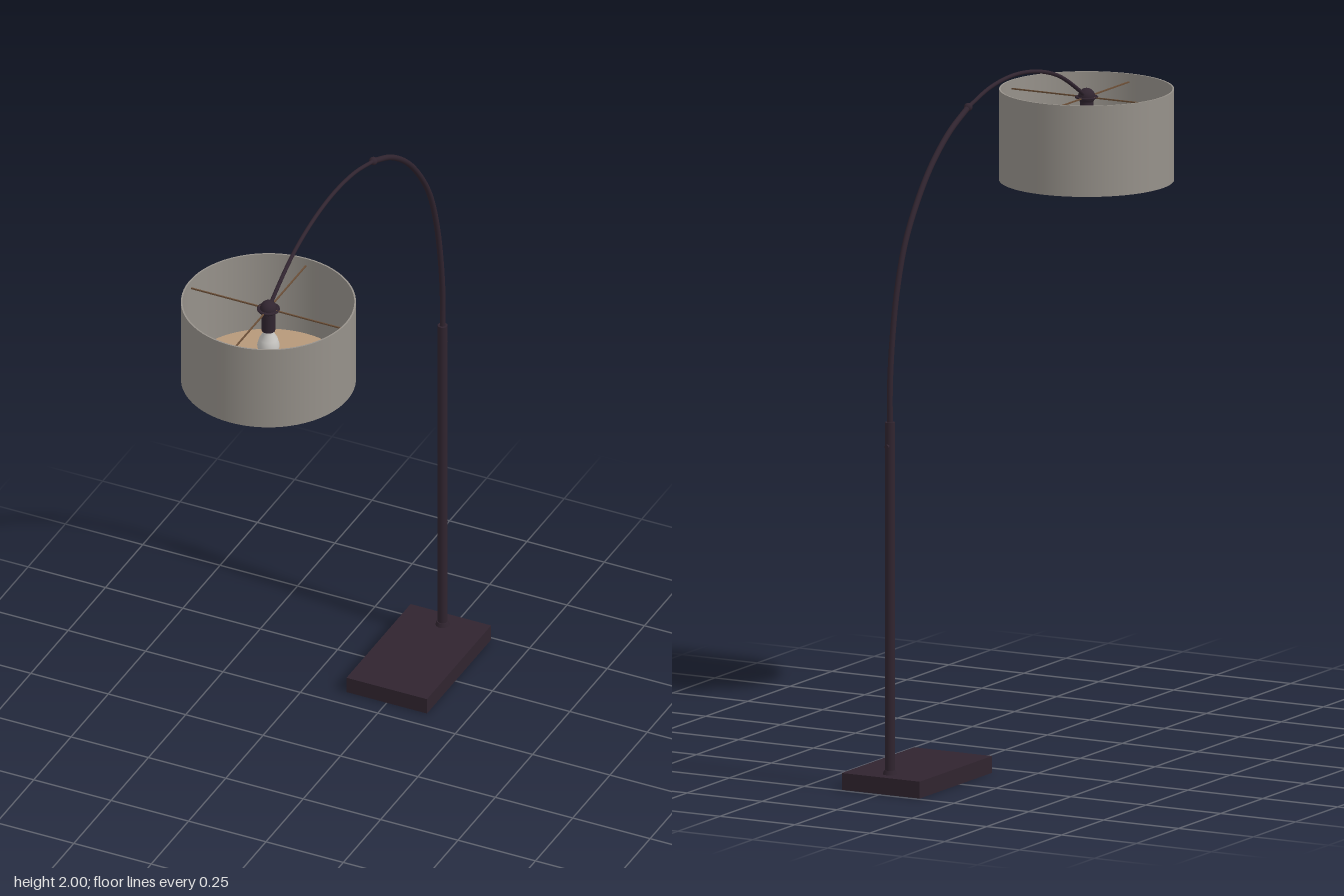
import * as THREE from 'three';

const metal = new THREE.MeshStandardMaterial({ color: 0x30242f });
metal.name = 'dark bronze';
const fabric = new THREE.MeshStandardMaterial({ color: 0x96918a, side: THREE.DoubleSide });
fabric.name = 'grey fabric';
const tan = new THREE.MeshStandardMaterial({ color: 0xb6987a });
tan.name = 'tan diffuser';
const brass = new THREE.MeshStandardMaterial({ color: 0x6b4f38 });
brass.name = 'brown wire';
const glass = new THREE.MeshStandardMaterial({ color: 0xc8c6c2 });
glass.name = 'bulb white';

const POLE_Z = -0.685, SHADE_Z = 0.483;

export function createModel() {
  const lamp = new THREE.Group();
  lamp.name = 'arcFloorLamp';

  const add = (name, geometry, material, x, y, z, parent = lamp) => {
    const mesh = new THREE.Mesh(geometry, material);
    mesh.name = name;
    mesh.position.set(x, y, z);
    parent.add(mesh);
    return mesh;
  };
  const rod = (r, h, rTop = r) => new THREE.CylinderGeometry(rTop, r, h, 24);

  // Base slab and upright
  add('base', new THREE.BoxGeometry(0.26, 0.05, 0.43), metal, 0, 0.025, -0.525);
  add('poleCollar', rod(0.021, 0.012, 0.017), metal, 0, 0.056, POLE_Z);
  add('pole', rod(0.0145, 1.045), metal, 0, 0.5725, POLE_Z);
  const screw = add('poleScrew', rod(0.006, 0.012), metal, 0, 1.025, POLE_Z - 0.016);
  screw.rotation.x = Math.PI / 2;

  // Arched arm: one curve split at the joint into a thick and a thin tube
  const lower = [[-0.685, 1.08], [-0.685, 1.2], [-0.672, 1.33], [-0.645, 1.47], [-0.6, 1.6],
    [-0.535, 1.705], [-0.445, 1.808], [-0.335, 1.892], [-0.22, 1.948]];
  const upper = [[-0.22, 1.948], [-0.09, 1.983], [0.05, 1.995], [0.19, 1.981],
    [0.32, 1.944], [0.44, 1.88], [0.478, 1.855]];
  const arm = (name, points, r) => {
    const curve = new THREE.CatmullRomCurve3(points.map(([z, y]) => new THREE.Vector3(0, y, z)));
    add(name, new THREE.TubeGeometry(curve, 64, r, 12), metal, 0, 0, 0);
  };
  arm('lowerArm', lower, 0.0085);
  arm('upperArm', upper, 0.0058);
  add('armJoint', new THREE.SphereGeometry(0.0125, 20, 14), metal, 0, 1.948, -0.22);

  // Drum shade, hung around its own axis
  const head = new THREE.Group();
  head.name = 'shadeAssembly';
  head.position.z = SHADE_Z;
  lamp.add(head);
  const part = (name, geometry, material, y) => add(name, geometry, material, 0, y, 0, head);

  const outer = 0.255, inner = 0.25;
  part('shadeOuterWall', new THREE.CylinderGeometry(outer, outer, 0.27, 64, 1, true), fabric, 1.743);
  part('shadeInnerWall', new THREE.CylinderGeometry(inner, inner, 0.27, 64, 1, true), fabric, 1.743);
  for (const y of [1.608, 1.878]) {
    const rim = part('shadeRim', new THREE.RingGeometry(inner, outer, 64), fabric, y);
    rim.rotation.x = -Math.PI / 2;
  }
  part('diffuser', new THREE.CylinderGeometry(inner, inner, 0.006, 64), tan, 1.614);
  part('finial', new THREE.SphereGeometry(0.013, 16, 10), metal, 1.614).scale.y = 0.7;

  // Four wire spokes from the hub to the wall
  for (let i = 0; i < 4; i++) {
    const a = i * Math.PI / 2;
    const spoke = add('spoke', new THREE.BoxGeometry(0.225, 0.004, 0.004), brass,
      Math.cos(a) * 0.1375, 1.853, Math.sin(a) * 0.1375, head);
    spoke.rotation.y = -a;
  }

  // Hub, socket and bulb
  const ring = part('hubRing', new THREE.TorusGeometry(0.031, 0.003, 8, 32), metal, 1.853);
  ring.rotation.x = Math.PI / 2;
  part('hubPlate', rod(0.031, 0.004), metal, 1.853);
  part('hubBall', new THREE.SphereGeometry(0.025, 24, 16), metal, 1.855);
  part('socket', rod(0.02, 0.065), metal, 1.812);
  const bulb = [[0, 1.69], [0.018, 1.695], [0.03, 1.71], [0.033, 1.728], [0.027, 1.75],
    [0.017, 1.768], [0.015, 1.785]].map(([r, y]) => new THREE.Vector2(r, y));
  part('bulb', new THREE.LatheGeometry(bulb, 24), glass, 0);

  return lamp;
}
